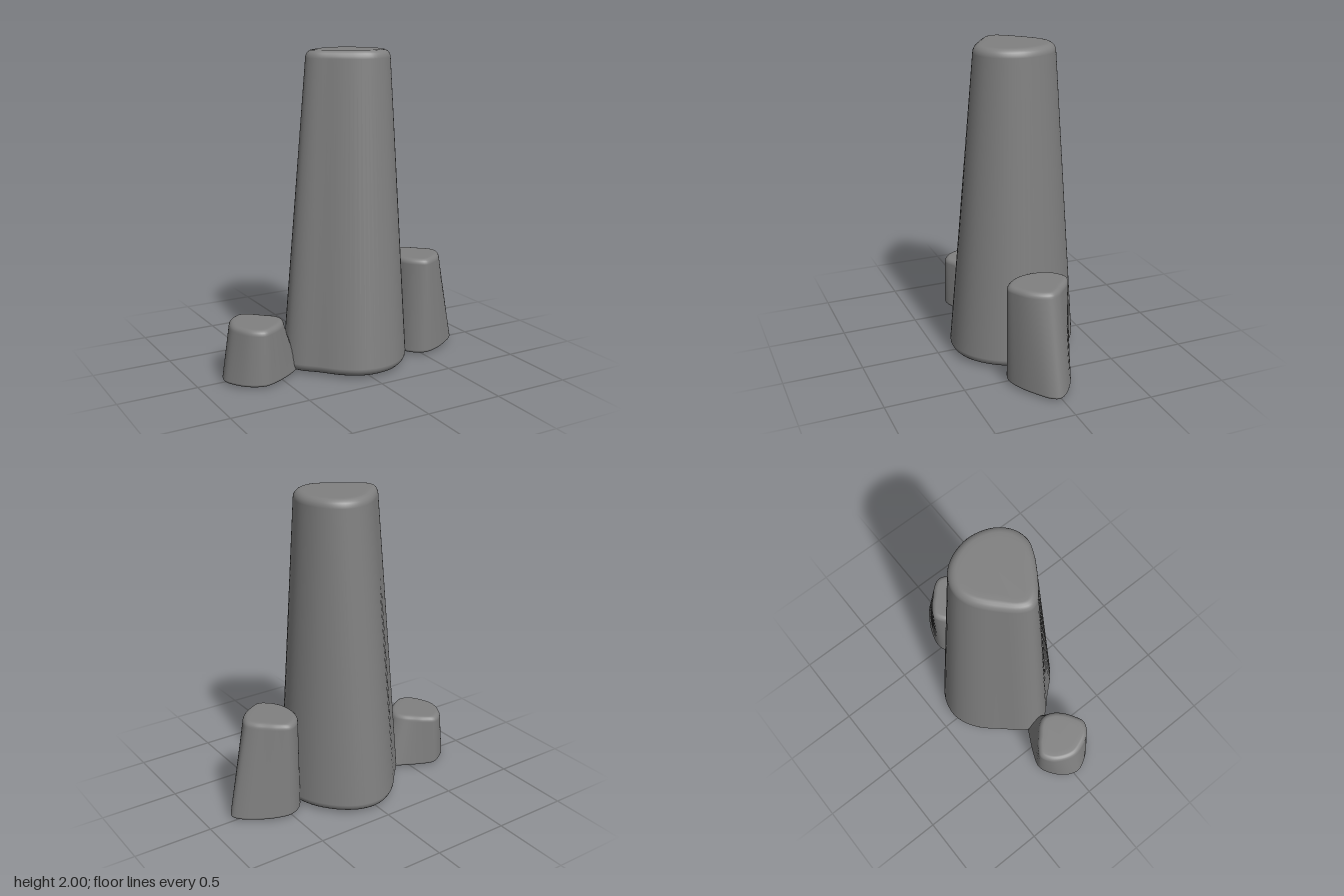
import * as THREE from 'three';

const SEG = 72, ROUND = 5;

// Samples a smooth closed outline through [x, z] points
function outline(points) {
  const curve = new THREE.CatmullRomCurve3(points.map(([x, z]) => new THREE.Vector3(x, 0, z)), true, 'centripetal');
  return Array.from({ length: SEG }, (_, i) => curve.getPoint(i / SEG));
}

function centreOf(points) {
  const box = new THREE.Box3().setFromPoints(points);
  return box.getCenter(new THREE.Vector3());
}

// Tapered stone: lofts a base outline to a top outline with rounded rims
function stone(name, { base, top, height, baseRound, topRound }) {
  const foot = 0.01;
  const lower = outline(base), upper = outline(top);
  const lowC = centreOf(lower), upC = centreOf(upper);
  const positions = [], index = [];
  let rings = 0;

  const addRing = (points, centre, inset, y) => {
    for (const p of points) {
      const k = 1 - inset / p.distanceTo(centre);
      positions.push(centre.x + (p.x - centre.x) * k, y, centre.z + (p.z - centre.z) * k);
    }
    rings++;
  };

  // Bottom rim, from the underside outwards
  addRing(lower, lowC, baseRound + 0.03, foot - 0.002);
  for (let i = 0; i <= ROUND; i++) {
    const a = (i / ROUND) * Math.PI / 2;
    addRing(lower, lowC, baseRound * (1 - Math.sin(a)), foot + baseRound * (1 - Math.cos(a)));
  }
  // Straight side and top rim
  for (let i = 0; i <= ROUND; i++) {
    const a = (i / ROUND) * Math.PI / 2;
    addRing(upper, upC, topRound * (1 - Math.cos(a)), height - topRound * (1 - Math.sin(a)));
  }
  addRing(upper, upC, topRound + 0.03, height);

  // Outlines run from -x through +z, so this winding faces outwards
  for (let r = 0; r < rings - 1; r++) {
    for (let i = 0; i < SEG; i++) {
      const j = (i + 1) % SEG;
      const a = r * SEG + i, b = r * SEG + j, c = a + SEG, d = b + SEG;
      index.push(a, b, c, b, d, c);
    }
  }
  // Cap centres
  const low = positions.length / 3, high = low + 1;
  positions.push(lowC.x, 0, lowC.z, upC.x, height, upC.z);
  const last = (rings - 1) * SEG;
  for (let i = 0; i < SEG; i++) {
    const j = (i + 1) % SEG;
    index.push(low, j, i, high, last + i, last + j);
  }
  const geometry = new THREE.BufferGeometry();
  geometry.setAttribute('position', new THREE.Float32BufferAttribute(positions, 3));
  geometry.setIndex(index);
  geometry.computeVertexNormals();
  const mesh = new THREE.Mesh(geometry, new THREE.MeshStandardMaterial({ color: 0x808080 }));
  mesh.name = name;
  return mesh;
}

export function createModel() {
  const group = new THREE.Group();
  group.name = 'standingStones';

  // Tall central pillar
  group.add(stone('pillar', {
    height: 2, baseRound: 0.055, topRound: 0.05,
    base: [[-0.415, 0.02], [-0.385, 0.1], [-0.29, 0.2], [-0.19, 0.31], [-0.08, 0.385], [0.04, 0.41], [0.17, 0.385], [0.29, 0.3],
      [0.38, 0.17], [0.412, 0.02], [0.37, -0.16], [0.27, -0.3], [0.15, -0.385], [0.03, -0.41], [-0.07, -0.385], [-0.17, -0.32],
      [-0.28, -0.2], [-0.385, -0.08]],
    top: [[-0.252, 0.02], [-0.23, 0.075], [-0.16, 0.135], [-0.08, 0.19], [0, 0.235], [0.08, 0.26], [0.17, 0.24], [0.24, 0.18],
      [0.28, 0.1], [0.295, 0], [0.27, -0.11], [0.22, -0.19], [0.15, -0.24], [0.07, -0.255], [0, -0.24], [-0.07, -0.2],
      [-0.15, -0.13], [-0.23, -0.04]],
  }));

  // Short stone on the -x side
  group.add(stone('shortStone', {
    height: 0.365, baseRound: 0.02, topRound: 0.035,
    base: [[-0.84, 0.03], [-0.82, 0.09], [-0.75, 0.18], [-0.65, 0.225], [-0.55, 0.195], [-0.46, 0.145],
      [-0.38, 0.085], [-0.34, 0.03], [-0.37, -0.04], [-0.45, -0.09], [-0.55, -0.14], [-0.65, -0.17], [-0.75, -0.12], [-0.82, -0.04]],
    top: [[-0.785, 0.02], [-0.77, 0.09], [-0.72, 0.18], [-0.645, 0.22], [-0.57, 0.19], [-0.5, 0.14],
      [-0.455, 0.08], [-0.442, 0.02], [-0.465, -0.03], [-0.52, -0.085], [-0.575, -0.135], [-0.645, -0.17], [-0.715, -0.135], [-0.765, -0.06]],
  }));

  // Medium stone on the +x side
  group.add(stone('mediumStone', {
    height: 0.65, baseRound: 0.02, topRound: 0.035,
    base: [[0.37, 0.02], [0.385, 0.1], [0.43, 0.18], [0.51, 0.225], [0.63, 0.195], [0.74, 0.13],
      [0.815, 0.07], [0.838, 0.02], [0.81, -0.03], [0.73, -0.095], [0.62, -0.15], [0.51, -0.17], [0.43, -0.13], [0.385, -0.06]],
    top: [[0.38, 0.02], [0.395, 0.11], [0.445, 0.185], [0.51, 0.225], [0.585, 0.195], [0.65, 0.15],
      [0.7, 0.08], [0.715, 0.02], [0.69, -0.03], [0.64, -0.08], [0.58, -0.135], [0.51, -0.17], [0.445, -0.14], [0.395, -0.07]],
  }));

  return group;
}
